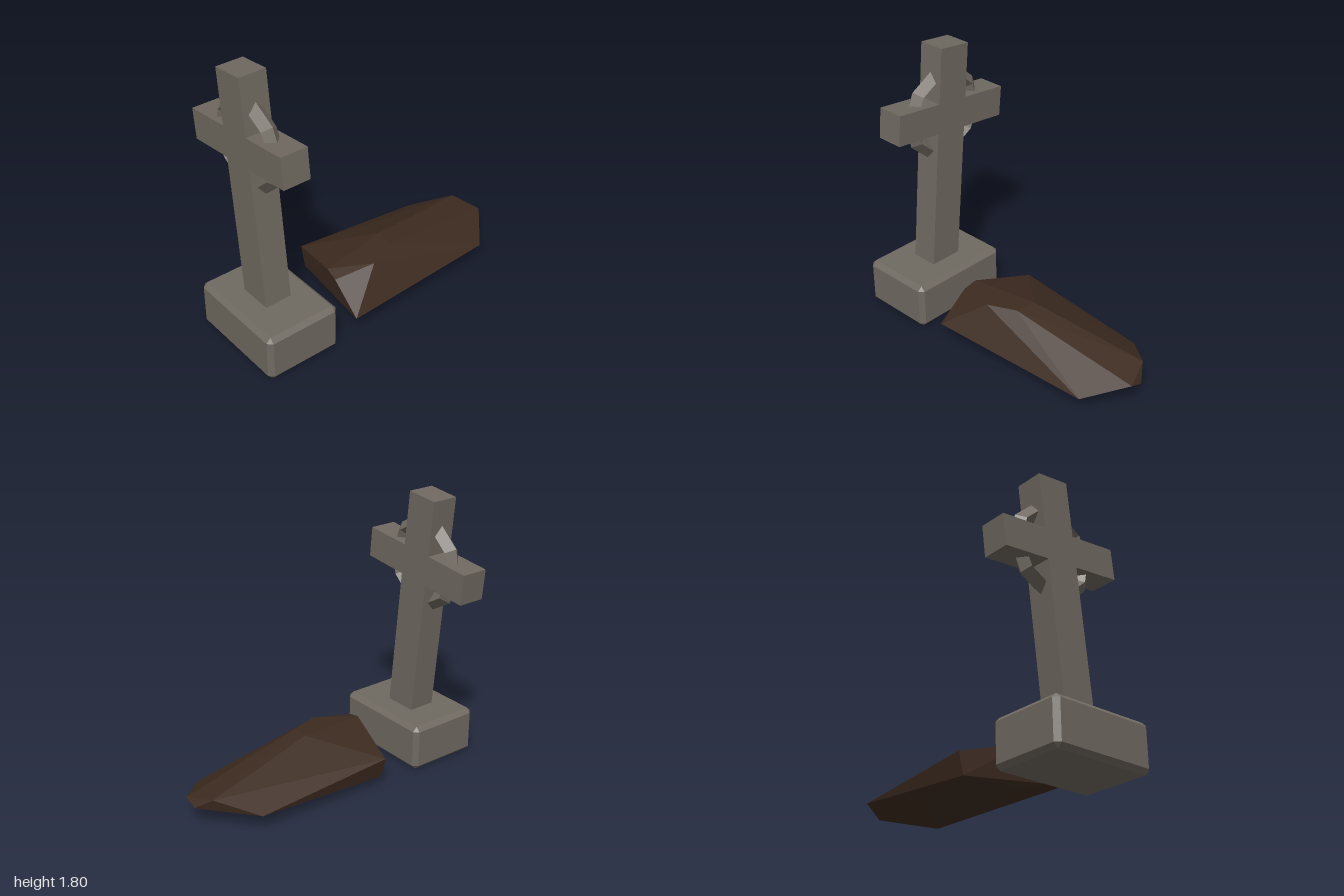
import * as THREE from 'three';
import { ConvexGeometry } from 'three/addons/geometries/ConvexGeometry.js';

// Box with a flat chamfer on every edge and corner
function chamferedBox(w, h, d, c) {
  const pts = [];
  for (const sx of [-1, 1]) for (const sy of [-1, 1]) for (const sz of [-1, 1]) {
    for (let axis = 0; axis < 3; axis++) {
      const half = [w / 2 - c, h / 2 - c, d / 2 - c];
      half[axis] += c;
      pts.push(new THREE.Vector3(sx * half[0], sy * half[1], sz * half[2]));
    }
  }
  return new ConvexGeometry(pts);
}

export function createModel() {
  const stone = new THREE.MeshStandardMaterial({ color: 0x6f6960, flatShading: true });
  stone.name = 'weathered stone';
  const earth = new THREE.MeshStandardMaterial({ color: 0x3d2b20, flatShading: true });
  earth.name = 'dark earth';

  const model = new THREE.Group();
  model.name = 'grave';
  const add = (parent, name, geometry, material) => {
    const mesh = new THREE.Mesh(geometry, material);
    mesh.name = name;
    parent.add(mesh);
    return mesh;
  };

  // Plinth
  add(model, 'plinth', chamferedBox(0.715, 0.31, 0.51, 0.03), stone).position.set(0.098, 0.155, 0.745);

  // Leaning ringed cross, pivoting about the middle of its arms
  const headstone = new THREE.Group();
  headstone.name = 'headstone';
  headstone.position.set(-0.0175, 1.3325, 0.743);
  headstone.rotation.z = 0.0985;
  model.add(headstone);

  const post = 0.1115, arm = 0.1005, reach = 0.4345, top = 0.461, foot = -1.15, depth = 0.182;
  const outline = new THREE.Shape([
    [-post, foot], [post, foot], [post, -arm], [reach, -arm], [reach, arm], [post, arm],
    [post, top], [-post, top], [-post, arm], [-reach, arm], [-reach, -arm], [-post, -arm],
  ].map(([x, y]) => new THREE.Vector2(x, y)));
  const crossGeo = new THREE.ExtrudeGeometry(outline, { depth, bevelEnabled: false });
  crossGeo.translate(0, 0, -depth / 2);
  add(headstone, 'cross', crossGeo, stone);

  // Ten-sided ring with a diamond section
  add(headstone, 'ring', new THREE.TorusGeometry(0.262, 0.053, 4, 10), stone);

  // Burial mound
  const corners = [
    // front end
    [0.435, 0.11, 0.335], [0.13, 0.305, 0.32], [0.22, 0.28, 0.33], [-0.275, 0.195, 0.22],
    // crown
    [0.08, 0.335, -0.15], [0.21, 0.327, -0.13], [0.28, 0.313, 0.065],
    // back end
    [0.37, 0.095, -0.79], [0.14, 0.175, -1], [0.05, 0.14, -1], [-0.05, 0.215, -0.93], [-0.25, 0.12, -0.71],
    // underside
    [-0.24, 0.055, 0.22], [0.18, 0.055, 0.24], [-0.15, 0.055, -0.25], [0.25, 0.055, -0.2],
  ];
  add(model, 'mound', new ConvexGeometry(corners.map((p) => new THREE.Vector3(...p))), earth);

  return model;
}
